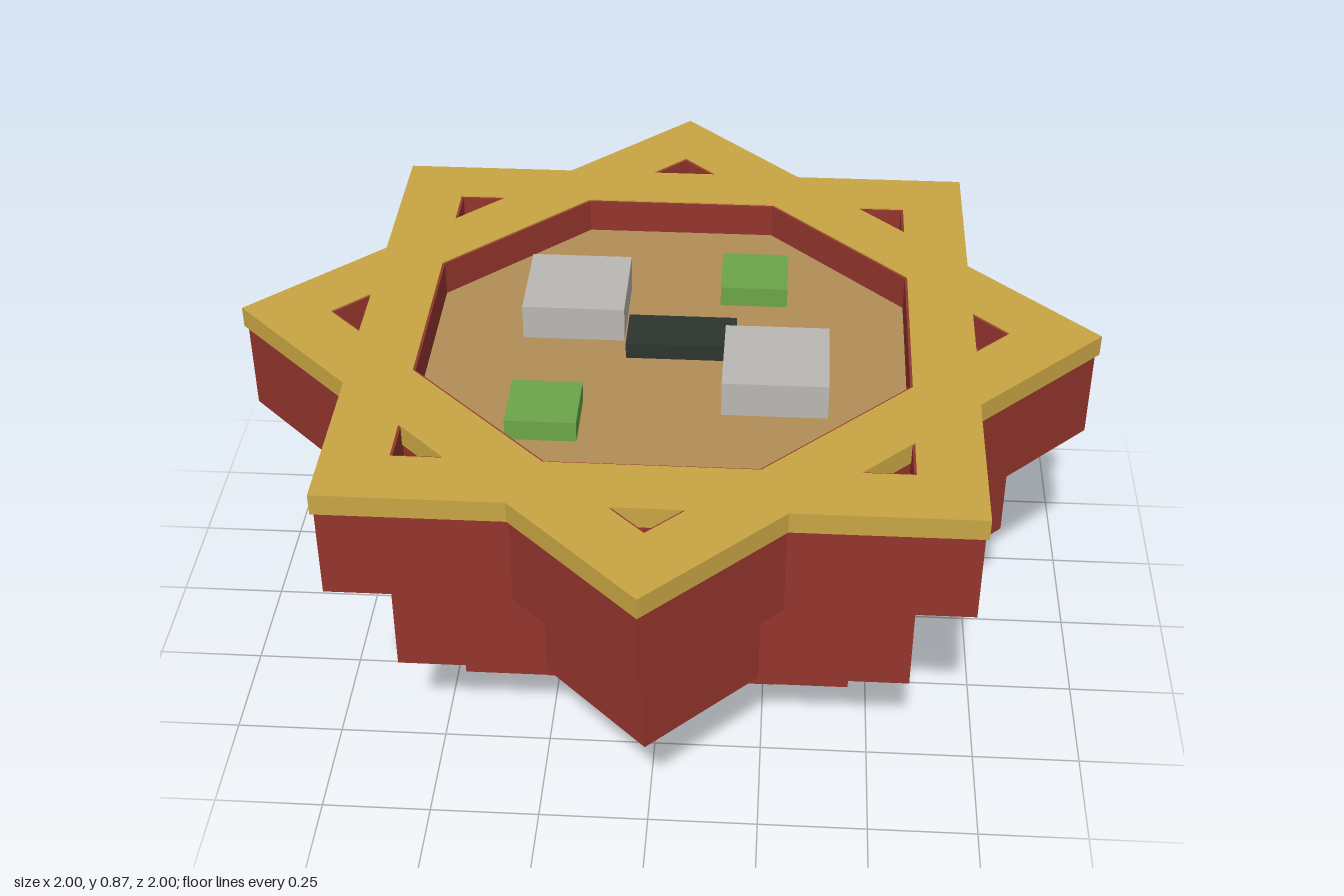
import * as THREE from 'three';

const material = (name, color) => {
  const m = new THREE.MeshStandardMaterial({ color });
  m.name = name;
  return m;
};

// Points of a regular figure whose radii alternate between the given values
function ringPoints(count, radii, offset = 0) {
  return Array.from({ length: count }, (_, i) => {
    const a = offset + (i / count) * Math.PI * 2;
    const r = radii[i % radii.length];
    return new THREE.Vector2(Math.cos(a) * r, Math.sin(a) * r);
  });
}

// Eight-pointed star made of two overlapping squares
const starShape = (r) => new THREE.Shape(ringPoints(16, [r, r * 0.7654]));

// Star with an octagonal opening and a triangular opening in each point
function piercedStar(r) {
  const shape = starShape(r);
  shape.holes.push(new THREE.Path(ringPoints(8, [r * 0.606], Math.PI / 8).reverse()));
  for (let i = 0; i < 8; i++) {
    const centre = new THREE.Vector2();
    const corners = [[0.79, 0], [0.709, -0.081], [0.709, 0.081]].map(([x, y]) =>
      new THREE.Vector2(x * r, y * r).rotateAround(centre, (i * Math.PI) / 4));
    shape.holes.push(new THREE.Path(corners));
  }
  return shape;
}

export function createModel() {
  const group = new THREE.Group();
  const red = material('brick red', 0x94352d);
  const gold = material('gold', 0xc9a644);
  const tan = material('sand tan', 0xb28e58);
  const grey = material('light grey', 0xb9b8b5);
  const green = material('leaf green', 0x6ba648);
  const dark = material('dark slate', 0x2d342e);

  const add = (name, geometry, mat) => {
    const mesh = new THREE.Mesh(geometry, mat);
    mesh.name = name;
    group.add(mesh);
    return mesh;
  };

  // Upright slab from a plan shape between two heights
  const slab = (name, shape, y0, y1, mat) => {
    const g = new THREE.ExtrudeGeometry(shape, { depth: y1 - y0, bevelEnabled: false });
    g.rotateX(-Math.PI / 2);
    g.translate(0, y0, 0);
    return add(name, g, mat);
  };

  // Stepped star base, widening upwards
  slab('footTier', starShape(0.393), 0, 0.157, red);
  slab('lowerTier', starShape(0.635), 0.157, 0.295, red);
  slab('middleTier', starShape(0.82), 0.295, 0.6, red);
  slab('upperTier', piercedStar(0.99), 0.6, 0.862, red);

  // Golden rim and sunken floor
  slab('goldRim', piercedStar(1), 0.815, 0.865, gold);
  const floorY = 0.78;
  slab('floor', starShape(0.96), floorY - 0.02, floorY, tan);

  // Blocks standing on the floor
  const block = (name, x, z, w, d, h, mat) => {
    add(name, new THREE.BoxGeometry(w, h, d), mat).position.set(x, floorY + h / 2, z);
  };
  block('backGreyBlock', -0.225, -0.165, 0.24, 0.24, 0.085, grey);
  block('frontGreyBlock', 0.255, 0.125, 0.24, 0.24, 0.085, grey);
  block('backGreenBlock', 0.195, -0.295, 0.16, 0.16, 0.05, green);
  block('frontGreenBlock', -0.26, 0.287, 0.16, 0.16, 0.05, green);
  block('darkBlock', 0.031, 0.035 - 0.07, 0.255, 0.125, 0.04, dark);

  return group;
}
